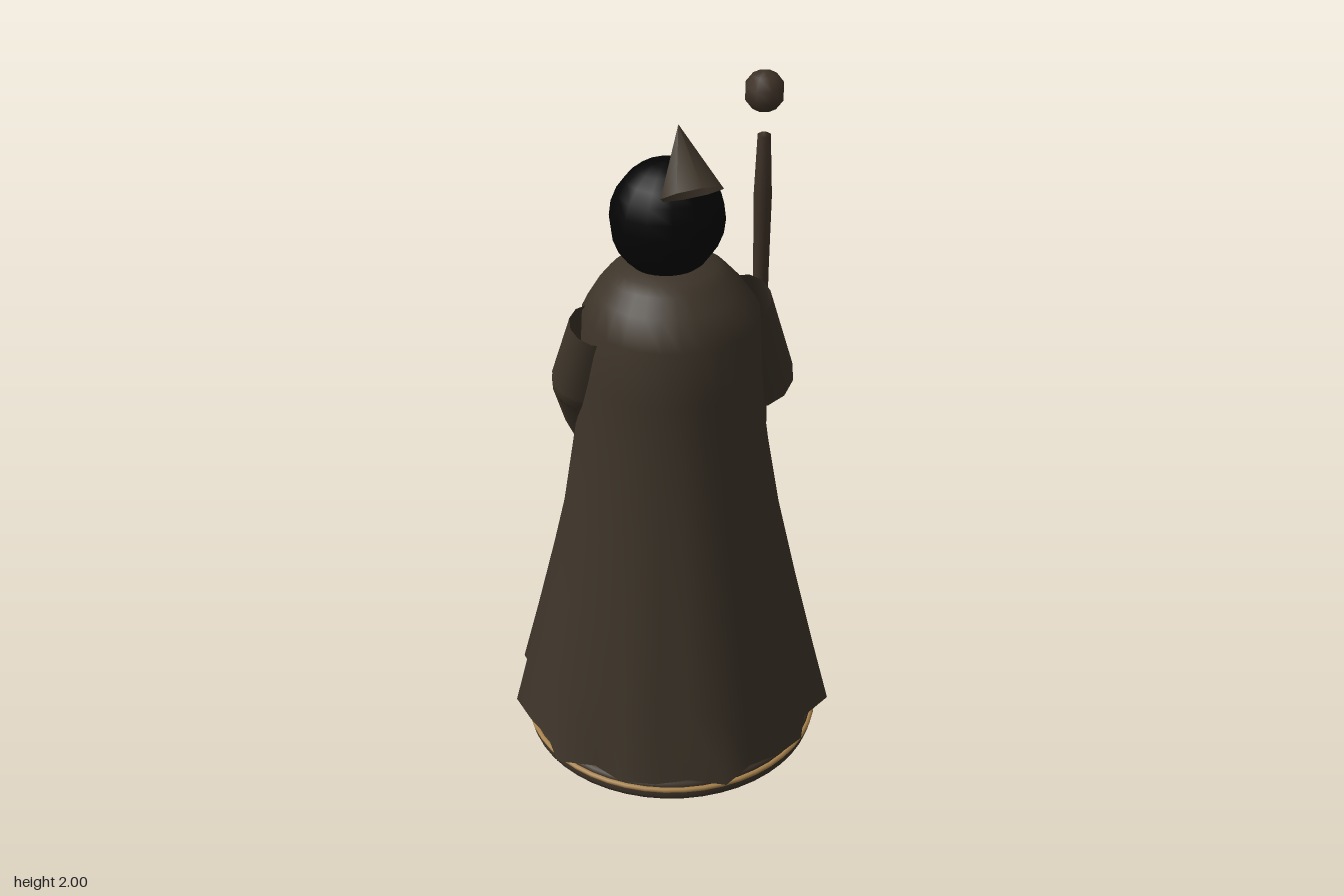
import * as THREE from 'three';
import { mergeVertices } from 'three/addons/utils/BufferGeometryUtils.js';

const paint = (name, color, side = THREE.FrontSide) => {
  const m = new THREE.MeshStandardMaterial({ color, side });
  m.name = name;
  return m;
};

const v = (x, y, z) => new THREE.Vector3(x, y, z);

export function createModel() {
  const model = new THREE.Group();
  model.name = 'robedFigure';
  const cloth = paint('brownCloth', 0x3d3429, THREE.DoubleSide);
  const wood = paint('darkWood', 0x3e3227);
  const stone = paint('baseBrown', 0x3b3127);
  const black = paint('shadowBlack', 0x040404);
  const gold = paint('dullGold', 0xa8824c);

  const add = (name, geometry, material, pos = v(0, 0, 0), parent = model) => {
    const mesh = new THREE.Mesh(geometry, material);
    mesh.name = name;
    mesh.position.copy(pos);
    parent.add(mesh);
    return mesh;
  };
  const profile = (pts) => pts.map(([r, y]) => new THREE.Vector2(r, y));

  // Rounded base with a hollow underside, a thin gold rim and pebbles set beneath
  add('base', new THREE.LatheGeometry(profile([
    [0, 0.04], [0.25, 0.036], [0.36, 0.02], [0.4, 0.006], [0.418, 0.003], [0.431, 0.012], [0.435, 0.024],
    [0.431, 0.038], [0.428, 0.046], [0.43, 0.055], [0.426, 0.066], [0.41, 0.075], [0, 0.076],
  ]), 48), stone);
  const rim = add('goldRim', new THREE.TorusGeometry(0.433, 0.008, 8, 48), gold, v(0, 0.047, 0));
  rim.rotation.x = Math.PI / 2;
  [[0.35, -0.1], [0.34, 0.05], [0.27, -0.05], [-0.01, -0.13], [-0.15, -0.17], [-0.23, -0.02]].forEach(([x, z], i) => {
    const p = add('pebble', new THREE.IcosahedronGeometry(0.026 + 0.005 * (i % 3), 1), stone, v(x, 0.03, z));
    p.scale.y = 0.6;
  });

  // Robe: a lathe whose hem is pulled into pointed folds that fade upwards
  const hem = [0.475, 0.43, 0.447, 0.456, 0.426, 0.48, 0.437, 0.45, 0.475, 0.414, 0.486, 0.444, 0.446, 0.487, 0.435];
  const robe = new THREE.LatheGeometry(profile([
    [0.45, 0.08], [0.405, 0.3], [0.355, 0.55], [0.307, 0.8], [0.268, 1.07], [0.255, 1.25],
    [0.247, 1.42], [0.203, 1.485], [0.166, 1.526], [0.14, 1.546], [0.1, 1.556],
  ]), 28);
  const pos = robe.attributes.position;
  for (let i = 0; i < pos.count; i++) {
    const x = pos.getX(i), y = pos.getY(i), z = pos.getZ(i);
    const step = Math.round(Math.abs(Math.atan2(x, z)) / (Math.PI / 14));
    const fade = Math.max(0, (1.07 - y) / 0.99);
    const k = 1 + (hem[step] / 0.45 - 1) * fade;
    const neck = Math.max(0, (y - 1.42) / 0.13);
    pos.setXYZ(i, x * k, y + neck * z * 0.06, z * k - 0.03 * neck);
  }
  robe.deleteAttribute('normal');
  robe.deleteAttribute('uv');
  const robeSmooth = mergeVertices(robe, 1e-4);
  robeSmooth.computeVertexNormals();
  add('robe', robeSmooth, cloth);

  // Dark head under the hood, with the detached, hollow hood point
  const head = add('head', new THREE.SphereGeometry(0.17, 14, 12), black, v(0, 1.69, -0.03));
  head.scale.set(0.95, 1, 0.86);
  const point = add('hoodPoint', new THREE.ConeGeometry(0.088, 0.185, 8, 1, true), cloth, v(0, 1.925, 0.109));
  point.rotation.x = -0.62;

  // Sleeves: hollow tapering tubes
  const sleeve = (name, a, b, ra, rb, parent) => {
    const dir = b.clone().sub(a);
    const tube = add(name, new THREE.CylinderGeometry(rb, ra, dir.length(), 12, 1, true), cloth,
      a.clone().add(b).multiplyScalar(0.5), parent);
    tube.quaternion.setFromUnitVectors(v(0, 1, 0), dir.normalize());
  };

  const leftArm = new THREE.Group();
  leftArm.name = 'leftArm';
  sleeve('leftSleeve', v(0.213, 1.41, 0), v(0.343, 1.022, -0.203), 0.08, 0.111, leftArm);
  add('leftHand', new THREE.SphereGeometry(0.046, 12, 8), gold, v(0.358, 0.985, -0.222), leftArm);

  const rightArm = new THREE.Group();
  rightArm.name = 'rightArm';
  const elbow = v(-0.237, 1.2, -0.075);
  sleeve('rightUpperSleeve', v(-0.215, 1.41, 0), elbow, 0.078, 0.088, rightArm);
  add('rightElbow', new THREE.SphereGeometry(0.088, 12, 8), cloth, elbow, rightArm);
  sleeve('rightLowerSleeve', elbow, v(-0.136, 0.99, -0.226), 0.088, 0.11, rightArm);
  add('rightHand', new THREE.SphereGeometry(0.035, 12, 8), gold, v(-0.09, 0.947, -0.262), rightArm);
  model.add(leftArm, rightArm);

  // Gnarled staff with a stone floating over its tip
  add('staff', new THREE.LatheGeometry(profile([
    [0, 0.055], [0.024, 0.056], [0.026, 0.25], [0.029, 0.55], [0.026, 0.72], [0.03, 0.85], [0.025, 1.1],
    [0.024, 1.35], [0.028, 1.6], [0.02, 1.79], [0, 1.8],
  ]), 8), wood, v(0.356, 0, -0.222));
  add('staffStone', new THREE.SphereGeometry(0.06, 8, 5), wood, v(0.352, 1.925, -0.218));

  return model;
}
